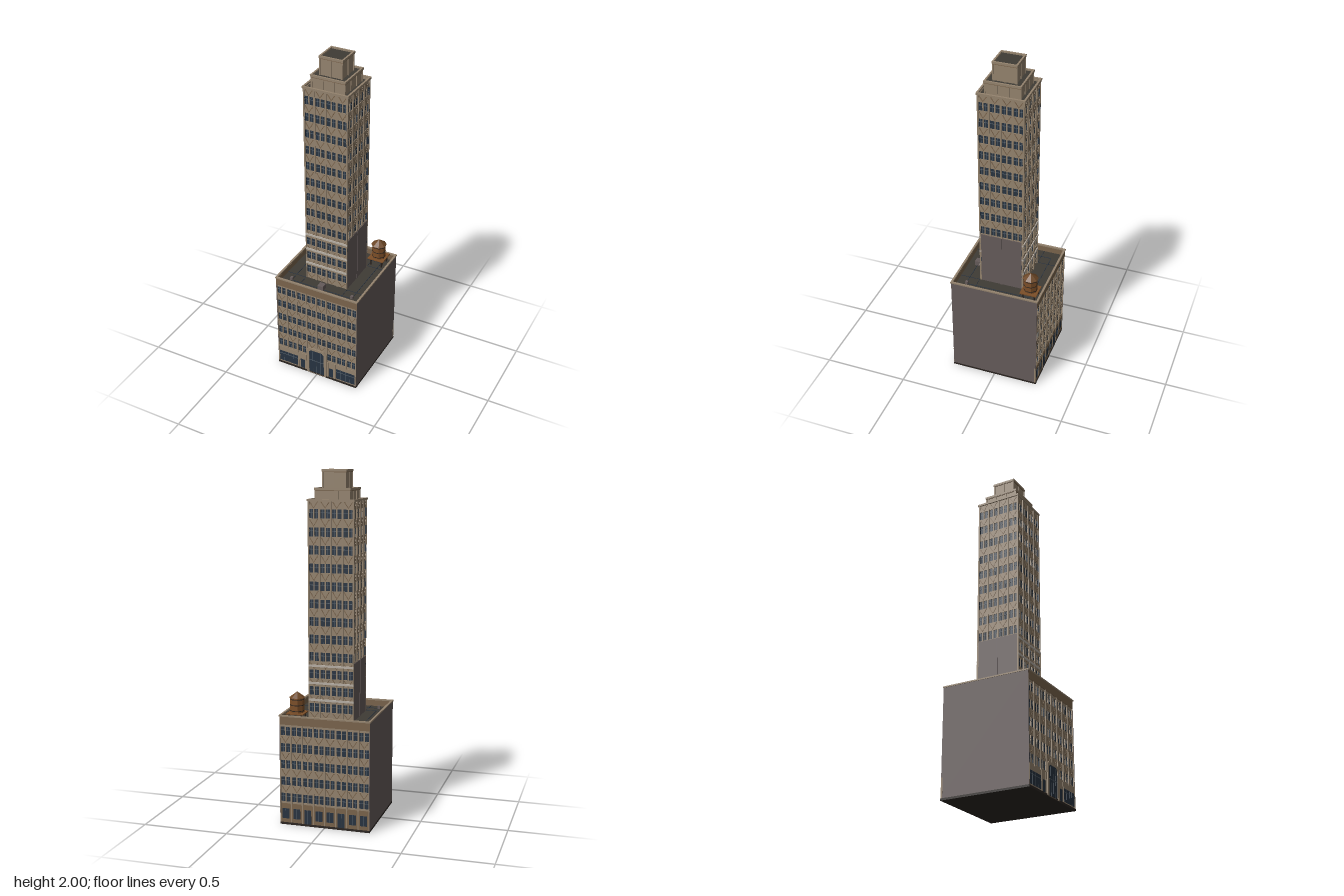
import * as THREE from 'three';
import { mergeGeometries } from 'three/addons/utils/BufferGeometryUtils.js';

const paint = (name, color) => new THREE.MeshStandardMaterial({ name, color });
const M = {
  stone: paint('stone', 0x94836e),
  brown: paint('brown stone', 0x7a644c),
  side: paint('plain side wall', 0x655b5a),
  roof: paint('roof', 0x3f3b35),
  glass: paint('glass', 0x273341),
  frame: paint('window frame', 0x56616b),
  trim: paint('pale trim', 0xb8b0a6),
  wood: paint('tank wood', 0x7d4f28),
  lid: paint('tank lid', 0x6b4625),
  dark: paint('dark metal', 0x2b2521),
};

// Box given by its limits
function slab(x0, x1, y0, y1, z0, z1) {
  return new THREE.BoxGeometry(x1 - x0, y1 - y0, z1 - z0)
    .translate((x0 + x1) / 2, (y0 + y1) / 2, (z0 + z1) / 2);
}
function add(parent, name, material, ...geometries) {
  const mesh = new THREE.Mesh(geometries.length > 1 ? mergeGeometries(geometries) : geometries[0], material);
  mesh.name = name;
  parent.add(mesh);
  return mesh;
}
// Square ring of four walls
function ring(half, t, y0, y1) {
  const i = half - t;
  return [slab(-half, half, y0, y1, i, half), slab(-half, half, y0, y1, -half, -i),
    slab(-half, -i, y0, y1, -i, i), slab(i, half, y0, y1, -i, i)];
}
// V-shaped ornament on a spandrel
function chevron(x, y0, y1, w, z) {
  const t = 0.006;
  const s = new THREE.Shape([[-w, y1], [-w + t, y1], [0, y0 + t], [w - t, y1], [w, y1], [0, y0]]
    .map(([a, b]) => new THREE.Vector2(a, b)));
  return new THREE.ExtrudeGeometry(s, { depth: 0.0015, bevelEnabled: false }).translate(x, 0, z);
}

// Gridded wall facing +z: window rows, spandrels with chevrons, projecting piers
function facade(name, half, bays, y0, y1, rows) {
  const g = new THREE.Group();
  g.name = name;
  const w = (2 * half) / bays, wh = 0.025;
  const glass = [], frames = [], mullions = [], spandrels = [], chevrons = [], piers = [];
  const edges = [y0, ...rows.flatMap((r) => [r - wh, r + wh]), y1];
  for (let k = 0; k < edges.length; k += 2) spandrels.push(slab(-half, half, edges[k], edges[k + 1], 0, 0.006));
  for (let b = 0; b < bays; b++) {
    const x = -half + (b + 0.5) * w;
    for (const r of rows) {
      glass.push(slab(x - w / 2, x + w / 2, r - wh, r + wh, 0, 0.002));
      frames.push(slab(x - w / 2, x + w / 2, r + 0.004, r + 0.007, 0.002, 0.0035));
      for (const s of [-1, 1]) {
        const px = x + s * 0.0145;
        frames.push(slab(px - 0.001, px + 0.001, r - wh, r + wh, 0.002, 0.0035));
      }
      mullions.push(slab(x - 0.0035, x + 0.0035, r - wh, r + wh, 0, 0.006));
    }
    for (let k = 0; k < edges.length; k += 2) {
      const h = edges[k + 1] - edges[k];
      if (h > 0.03) chevrons.push(chevron(x, edges[k] + 0.004, Math.min(edges[k + 1], edges[k] + 0.05) - 0.004, w * 0.4, 0.006));
    }
  }
  for (let b = 0; b <= bays; b++) {
    const x = -half + b * w;
    piers.push(slab(Math.max(x - 0.005, -half), Math.min(x + 0.005, half), y0, y1, 0, 0.01));
  }
  add(g, 'windowGlass', M.glass, ...glass);
  add(g, 'windowFrames', M.frame, ...frames);
  add(g, 'mullions', M.stone, ...mullions);
  add(g, 'spandrels', M.stone, ...spandrels);
  add(g, 'chevrons', M.brown, ...chevrons);
  add(g, 'piers', M.stone, ...piers);
  return g;
}
// Turn a wall to face one of four directions (0 front, 1 +x, 2 back, 3 -x)
function place(parent, wall, dist, turn) {
  const holder = new THREE.Group();
  holder.name = wall.name + 'Holder';
  wall.position.z = dist;
  holder.rotation.y = (turn * Math.PI) / 2;
  holder.add(wall);
  parent.add(holder);
}

function groundFloor(front) {
  const g = new THREE.Group();
  g.name = front ? 'shopFront' : 'rearGroundFloor';
  add(g, 'groundWall', front ? M.stone : M.brown, slab(-0.263, 0.263, 0.012, 0.125, 0, 0.008));
  const panes = [], bars = [], posts = [];
  if (front) {
    for (const s of [-1, 1]) {
      panes.push(slab(s * 0.193 - 0.062, s * 0.193 + 0.062, 0.02, 0.093, 0.008, 0.009));
      panes.push(slab(s * 0.097 - 0.014, s * 0.097 + 0.014, 0.015, 0.08, 0.008, 0.009));
      bars.push(slab(s * 0.193 - 0.062, s * 0.193 + 0.062, 0.073, 0.076, 0.009, 0.01));
      for (const d of [-0.031, 0, 0.031]) bars.push(slab(s * 0.193 + d - 0.001, s * 0.193 + d + 0.001, 0.02, 0.093, 0.009, 0.01));
      for (const x of [0.075, 0.122, 0.2595]) posts.push(slab(s * x - 0.0035, s * x + 0.0035, 0.012, 0.125, 0, 0.011));
    }
    // Entrance surround with clipped corners, and its glazed doors
    const p = (w, h, c) => [[-w, 0.005], [w, 0.005], [w, h - c], [w - c, h], [c - w, h], [-w, h - c]]
      .map(([x, y]) => new THREE.Vector2(x, y));
    const arch = new THREE.Shape(p(0.066, 0.193, 0.018));
    arch.holes.push(new THREE.Path(p(0.05, 0.178, 0.014).map((v) => v.setY(Math.max(v.y, 0.006)))));
    add(g, 'entranceSurround', M.stone, new THREE.ExtrudeGeometry(arch, { depth: 0.014, bevelEnabled: false }));
    add(g, 'entranceGlass', M.glass, slab(-0.052, 0.052, 0.006, 0.18, 0, 0.0108));
    add(g, 'entranceBars', M.frame, slab(-0.05, 0.05, 0.1, 0.103, 0.0108, 0.012),
      ...[-0.025, 0, 0.025].map((x) => slab(x - 0.001, x + 0.001, 0.006, 0.17, 0.0108, 0.012)));
  } else {
    for (let b = 0; b < 8; b++) {
      const x = -0.23 + b * 0.0657, door = b === 2 || b === 5;
      panes.push(slab(x - 0.02, x + 0.02, door ? 0.012 : 0.035, 0.095, 0.008, 0.009));
      bars.push(slab(x - 0.001, x + 0.001, door ? 0.012 : 0.035, 0.095, 0.009, 0.01));
    }
    for (let b = 0; b <= 8; b++) posts.push(slab(-0.2615 + b * 0.0654 - 0.003, -0.2615 + b * 0.0654 + 0.003, 0.012, 0.125, 0, 0.01));
  }
  add(g, 'groundPanes', M.glass, ...panes);
  add(g, 'groundBars', M.frame, ...bars);
  add(g, 'groundPosts', M.stone, ...posts);
  return g;
}

function waterTank() {
  const g = new THREE.Group();
  g.name = 'waterTank';
  const oct = (r0, r1, h, y) => new THREE.CylinderGeometry(r0, r1, h, 8).rotateY(Math.PI / 8).translate(0, y, 0);
  add(g, 'platform', M.wood, slab(-0.05, 0.05, 0.043, 0.049, -0.05, 0.05));
  const legs = [];
  for (const x of [-0.035, 0.035]) for (const z of [-0.035, 0.035]) legs.push(slab(x - 0.004, x + 0.004, 0, 0.043, z - 0.004, z + 0.004));
  add(g, 'legs', M.dark, ...legs);
  add(g, 'barrel', M.wood, oct(0.04, 0.04, 0.09, 0.094).toNonIndexed());
  add(g, 'hoops', M.dark, ...[0.06, 0.093, 0.126].map((y) => oct(0.0412, 0.0412, 0.004, y)));
  add(g, 'lid', M.lid, oct(0.001, 0.046, 0.033, 0.152));
  g.children.forEach((m) => { if (m.name === 'lid' || m.name === 'barrel') { m.geometry = m.geometry.index ? m.geometry.toNonIndexed() : m.geometry; m.geometry.computeVertexNormals(); } });
  g.position.set(0.18, 0.6, -0.195);
  return g;
}

export function createModel() {
  const model = new THREE.Group();
  model.name = 'tower';

  // Base block with plain sides
  const base = new THREE.Group();
  base.name = 'baseBlock';
  model.add(base);
  add(base, 'plinth', M.dark, slab(-0.2645, 0.2645, 0, 0.012, -0.2645, 0.2645));
  add(base, 'baseCore', M.roof, slab(-0.26, 0.26, 0.005, 0.6, -0.253, 0.253));
  for (const s of [-1, 1]) add(base, 'sideWall', M.side, slab(s * 0.262 - 0.002, s * 0.262 + 0.002, 0.012, 0.634, -0.263, 0.263));
  add(base, 'parapet', M.brown, ...ring(0.2635, 0.009, 0.588, 0.634));
  add(base, 'coping', M.stone, ...ring(0.267, 0.012, 0.634, 0.642));
  const baseRows = [0.16, 0.257, 0.355, 0.453, 0.55];
  place(base, facade('frontWall', 0.263, 8, 0.12, 0.59, baseRows), 0.253, 0);
  place(base, facade('backWall', 0.263, 8, 0.12, 0.59, baseRows), 0.253, 2);
  place(base, groundFloor(true), 0.253, 0);
  place(base, groundFloor(false), 0.253, 2);

  // Roof seams, hatch, vents and tank
  const seams = [];
  for (const s of [-1, 1]) {
    seams.push(slab(s * 0.197 - 0.0015, s * 0.197 + 0.0015, 0.6, 0.602, -0.197, 0.197));
    seams.push(slab(-0.197, 0.197, 0.6, 0.602, s * 0.197 - 0.0015, s * 0.197 + 0.0015));
    for (const t of [-1, 1]) {
      const a = Math.min(t * 0.135, t * 0.254), b = Math.max(t * 0.135, t * 0.254);
      seams.push(slab(s * 0.135 - 0.001, s * 0.135 + 0.001, 0.6, 0.602, a, b));
      seams.push(slab(a, b, 0.6, 0.602, s * 0.135 - 0.001, s * 0.135 + 0.001));
    }
    add(base, 'roofVent', M.side, slab(s * 0.197 - 0.008, s * 0.197 + 0.008, 0.6, 0.618, 0.184, 0.2));
  }
  add(base, 'roofSeams', M.glass, ...seams);
  add(base, 'roofHatch', M.side, slab(-0.018, 0.018, 0.6, 0.63, 0.174, 0.211));
  model.add(waterTank());

  // Lower shaft: plain on the sides, windows front and back
  const shaft = new THREE.Group();
  shaft.name = 'shaft';
  model.add(shaft);
  const H = 0.133, split = 0.93;
  add(shaft, 'lowerShaftCore', M.side, slab(-H, H, 0.6, split, -0.123, 0.123));
  for (const s of [-1, 1]) {
    add(shaft, 'sidePier', M.side, slab(s * 0.134 - 0.002, s * 0.134 + 0.002, 0.6, split, -0.004, 0.004));
  }
  for (const turn of [0, 2]) {
    const wall = facade('lowerShaftWall', H, 4, 0.6, split, [0.665, 0.763, 0.86]);
    add(wall, 'paleBands', M.trim, ...[0.71, 0.808, 0.908].map((y) => slab(-H, H, y - 0.006, y + 0.006, 0, 0.0115)));
    place(shaft, wall, 0.123, turn);
  }

  // Upper shaft: windows on all four sides
  add(shaft, 'upperShaftCore', M.stone, slab(-0.123, 0.123, split, 1.82, -0.123, 0.123));
  const rows = Array.from({ length: 9 }, (_, k) => 0.96 + k * 0.1);
  for (let t = 0; t < 4; t++) place(shaft, facade('upperShaftWall', H, 4, split, 1.83, rows), 0.123, t);
  add(shaft, 'shaftRoof', M.roof, slab(-0.128, 0.128, 1.815, 1.822, -0.128, 0.128));
  add(shaft, 'shaftCoping', M.stone, ...ring(0.137, 0.011, 1.828, 1.84));

  // Stepped crown
  for (const [h, y0, y1, n] of [[0.102, 1.82, 1.9, 3], [0.068, 1.88, 2, 2]]) {
    const tier = new THREE.Group();
    tier.name = 'crownTier';
    model.add(tier);
    add(tier, 'tierWall', M.stone, slab(-h + 0.003, h - 0.003, y0, y1 - 0.012, -h + 0.003, h - 0.003));
    add(tier, 'tierRoof', M.roof, slab(-h + 0.006, h - 0.006, y1 - 0.013, y1 - 0.009, -h + 0.006, h - 0.006));
    add(tier, 'tierCoping', M.stone, ...ring(h + 0.003, 0.01, y1 - 0.012, y1));
    for (let t = 0; t < 4; t++) {
      const piers = new THREE.Group();
      piers.name = 'tierPiers';
      for (let k = 0; k <= n; k++) {
        const x = (h - 0.004) * ((2 * k) / n - 1);
        add(piers, 'tierPier', M.stone, slab(x - 0.004, x + 0.004, y0, y1 - 0.012, -0.003, 0.001));
      }
      add(piers, 'tierBand', M.brown, slab(-h, h, y1 - 0.016, y1 - 0.012, -0.003, 0.0015));
      place(tier, piers, h, t);
    }
  }
  return model;
}
